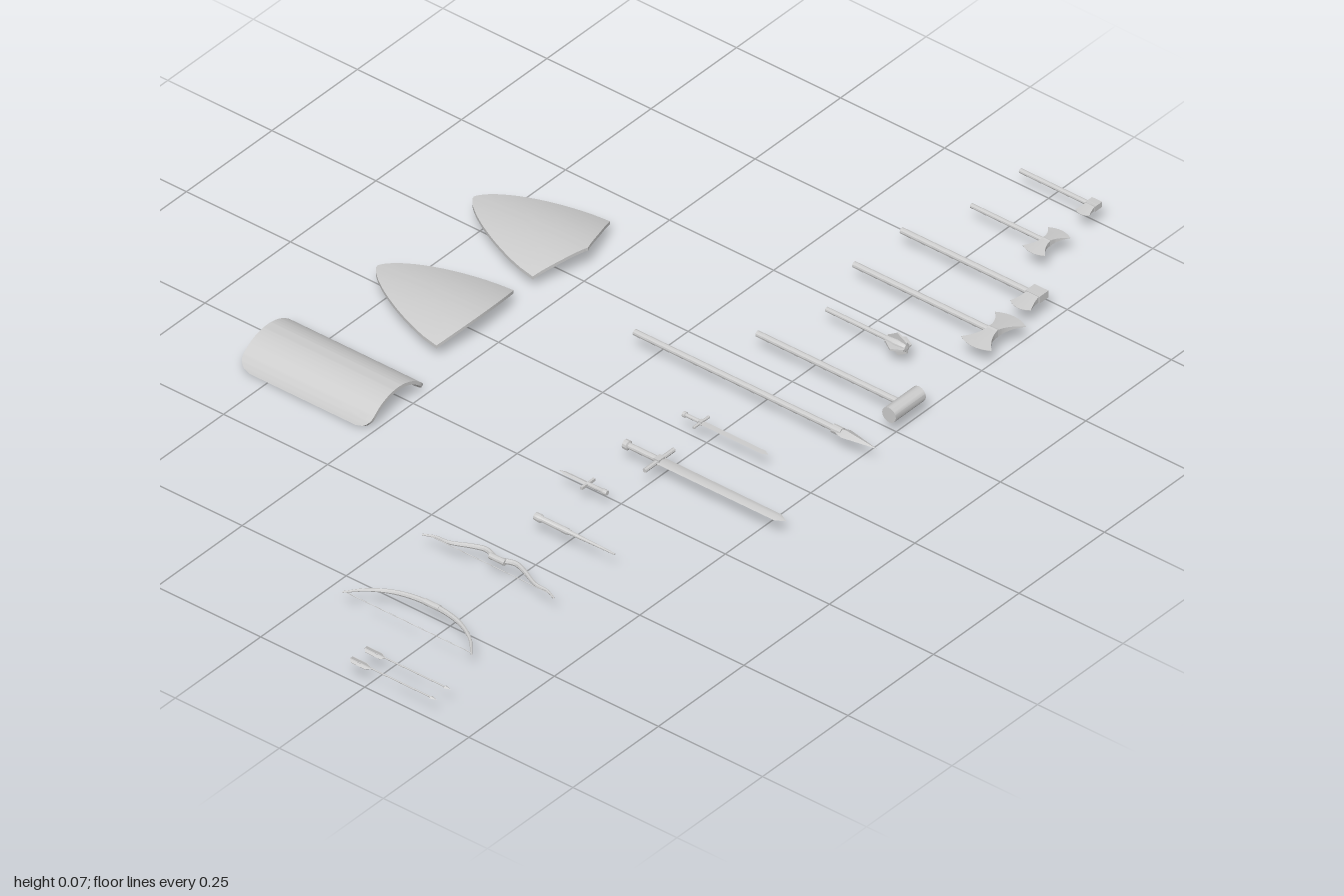
import * as THREE from 'three';
import { toCreasedNormals } from 'three/addons/utils/BufferGeometryUtils.js';

const material = new THREE.MeshStandardMaterial({ color: 0xcccccc, side: THREE.DoubleSide });
const LEVEL = 0.046; // height at which the weapons lie

export function createModel() {
  const model = new THREE.Group();

  const weapon = (name, x, y = LEVEL) => {
    const g = new THREE.Group();
    g.name = name;
    g.position.set(x, y, 0);
    model.add(g);
    return g;
  };
  const add = (group, name, geometry) => {
    const mesh = new THREE.Mesh(toCreasedNormals(geometry, 0.65), material);
    mesh.name = name;
    group.add(mesh);
    return mesh;
  };
  // Turned part along z from [radius, z] pairs; four sides give a diamond section
  const turned = (group, name, profile, sides = 12, flatten = 1) => {
    const g = new THREE.LatheGeometry(profile.map(([r, z]) => new THREE.Vector2(r, z)), sides);
    g.rotateX(Math.PI / 2).scale(1, flatten, 1);
    return add(group, name, g);
  };
  const rod = (group, name, r, z0, z1, sides) =>
    turned(group, name, [[0, z0], [r, z0], [r, z1], [0, z1]], sides);
  const box = (group, name, w, h, d, x, y, z) =>
    add(group, name, new THREE.BoxGeometry(w, h, d).translate(x, y, z));
  // Box grid whose vertices are moved by rule(u, s, v), each in -1..1
  const warped = (group, name, nx, nz, rule) => {
    const g = new THREE.BoxGeometry(2, 2, 2, nx, 1, nz);
    const p = g.attributes.position;
    for (let i = 0; i < p.count; i++) p.setXYZ(i, ...rule(p.getX(i), p.getY(i), p.getZ(i)));
    return add(group, name, g);
  };

  // Arrows
  for (const x of [-0.993, -0.951]) {
    const g = weapon('arrow', x);
    rod(g, 'arrowShaft', 0.0015, 0.21, 0.408, 8);
    turned(g, 'arrowHead', [[0, 0.4], [0.005, 0.403], [0, 0.417]], 4, 0.5);
    for (let i = 0; i < 3; i++) {
      const s = new THREE.Shape([[0, 0.21], [0.007, 0.215], [0.007, 0.25], [0, 0.262]]
        .map(([r, z]) => new THREE.Vector2(r, z)));
      const f = new THREE.ExtrudeGeometry(s, { depth: 0.001, bevelEnabled: false });
      f.translate(0, 0, -0.0005).rotateX(Math.PI / 2).rotateZ(Math.PI / 2 + i * Math.PI * 2 / 3);
      add(g, 'fletching', f);
    }
  }

  // Bows: half of the limb is given, the other half is mirrored in z
  const bow = (name, half, zMid, stringX) => {
    const g = weapon(name, 0);
    const pts = [...half.map(([x, d]) => new THREE.Vector3(x, 0, zMid - d)),
      ...half.slice(0, -1).reverse().map(([x, d]) => new THREE.Vector3(x, 0, zMid + d))];
    const curve = new THREE.CatmullRomCurve3(pts);
    const n = 60, sides = 8;
    const limb = new THREE.TubeGeometry(curve, n, 1, sides);
    const p = limb.attributes.position, v = new THREE.Vector3();
    for (let i = 0; i < p.count; i++) {
      const t = Math.floor(i / (sides + 1)) / n;
      const c = curve.getPointAt(t);
      v.fromBufferAttribute(p, i).sub(c).multiplyScalar(0.0018 + 0.0038 * Math.sin(Math.PI * t)).add(c);
      p.setXYZ(i, v.x, v.y, v.z);
    }
    add(g, 'limb', limb);
    const reach = half[0][1] - 0.004;
    rod(g, 'bowString', 0.0008, zMid - reach, zMid + reach, 6).position.x = stringX;
    rod(g, 'bowGrip', 0.0065, zMid - 0.018, zMid + 0.018).position.x = half.at(-1)[0];
  };
  bow('longBow', [[-0.84, 0.155], [-0.803, 0.12], [-0.776, 0.07], [-0.766, 0]], 0.22, -0.837);
  bow('recurveBow', [[-0.606, 0.158], [-0.596, 0.135], [-0.594, 0.105], [-0.574, 0.06],
    [-0.567, 0.035], [-0.577, 0]], 0.222, -0.6);

  // Wand
  turned(weapon('wand', -0.427), 'wandBody', [[0, 0.19], [0.008, 0.19], [0.0085, 0.2], [0.006, 0.208],
    [0.0065, 0.265], [0.0045, 0.275], [0.0018, 0.38], [0, 0.38]]);

  // Dagger
  const dagger = weapon('dagger', -0.287);
  turned(dagger, 'blade', [[0, 0.13], [0.005, 0.145], [0.0055, 0.2], [0, 0.2]], 4, 0.35);
  box(dagger, 'guard', 0.038, 0.006, 0.005, 0, 0, 0.2);
  turned(dagger, 'grip', [[0, 0.2], [0.0045, 0.2], [0.0045, 0.235], [0.006, 0.239], [0.005, 0.247], [0, 0.247]]);

  // Swords
  const sword = (name, x, s) => {
    const g = weapon(name, x);
    turned(g, 'pommel', [[0, s.start], [s.knob, s.start + s.knob * 0.5], [s.knob, s.start + s.knob * 1.4],
      [0, s.start + s.knob * 2]]);
    rod(g, 'grip', s.grip, s.start + s.knob, s.guard);
    add(g, 'guard', new THREE.CylinderGeometry(s.grip * 0.7, s.grip * 0.7, s.span, 8)
      .rotateZ(Math.PI / 2).translate(0, 0, s.guard));
    box(g, 'guardBlock', s.blade * 1.4, s.grip * 2, s.grip * 2, 0, 0, s.guard);
    turned(g, 'blade', [[0, s.guard], [s.blade, s.guard], [s.blade * 0.92, s.end - s.blade * 1.6], [0, s.end]], 4, 0.3);
  };
  sword('greatSword', -0.145, { start: 0.168, knob: 0.01, grip: 0.0065, guard: 0.255, span: 0.086, blade: 0.0125, end: 0.56 });
  sword('shortSword', -0.003, { start: 0.194, knob: 0.006, grip: 0.004, guard: 0.239, span: 0.046, blade: 0.0065, end: 0.4 });

  // Spear
  const spear = weapon('spear', 0.139);
  rod(spear, 'shaft', 0.0065, -0.037, 0.46);
  turned(spear, 'socket', [[0, 0.44], [0.009, 0.44], [0.009, 0.462], [0, 0.462]]);
  turned(spear, 'spearHead', [[0, 0.445], [0.008, 0.448], [0.015, 0.47], [0, 0.545]], 4, 0.55);

  // War hammer
  const hammer = weapon('hammer', 0.28);
  rod(hammer, 'handle', 0.0065, 0.142, 0.495);
  add(hammer, 'hammerHead', new THREE.CylinderGeometry(0.0165, 0.0165, 0.088, 16)
    .rotateZ(Math.PI / 2).translate(0, 0, 0.494));

  // Flanged mace
  const mace = weapon('mace', 0.421);
  rod(mace, 'handle', 0.005, 0.192, 0.345);
  turned(mace, 'maceCore', [[0, 0.335], [0.009, 0.338], [0.011, 0.365], [0.008, 0.385], [0, 0.388]]);
  for (let i = 0; i < 4; i++) {
    const s = new THREE.Shape([[0, 0.338], [0.008, 0.338], [0.025, 0.364], [0.012, 0.386], [0, 0.386]]
      .map(([r, z]) => new THREE.Vector2(r, z)));
    const f = new THREE.ExtrudeGeometry(s, { depth: 0.004, bevelEnabled: false });
    add(mace, 'flange', f.translate(0, 0, -0.002).rotateX(Math.PI / 2).rotateZ(i * Math.PI / 2));
  }

  // Axes: each blade flares and thins towards its curved edge
  const axeBlade = (group, z, reach, root, edge, thick, left) => {
    const m = warped(group, 'axeBlade', 8, 8, (u, s, v) => {
      const t = (u + 1) / 2;
      return [t * (reach - 0.18 * reach * v * v), s * (thick * (1 - t) + 0.0004),
        z + v * (root + (edge - root) * t * t)];
    });
    if (left) m.rotation.z = Math.PI;
  };
  const axe = (name, x, start, z, r, double, reach, root, edge) => {
    const g = weapon(name, x);
    rod(g, 'handle', r, start, z + root);
    axeBlade(g, z, reach, root, edge, r * 1.15, true);
    if (double) {
      axeBlade(g, z, reach, root, edge, r * 1.15, false);
      rod(g, 'eye', r * 1.3, z - root, z + root);
    } else box(g, 'poll', r * 4, r * 2.4, root * 2.4, r * 0.7, 0, z);
  };
  axe('doubleAxe', 0.563, 0.142, 0.476, 0.0065, true, 0.061, 0.011, 0.037);
  axe('axe', 0.702, 0.142, 0.463, 0.0065, false, 0.053, 0.014, 0.025);
  axe('smallDoubleAxe', 0.845, 0.192, 0.372, 0.005, true, 0.045, 0.009, 0.027);
  axe('hatchet', 0.988, 0.192, 0.365, 0.005, false, 0.036, 0.01, 0.017);

  // Grip bar under a shield
  const shieldGrip = (g, y, z) => {
    box(g, 'shieldGrip', 0.04, 0.004, 0.01, 0, y, z);
    for (const x of [-0.018, 0.018]) box(g, 'gripPost', 0.004, 0.014, 0.01, x, y + 0.005, z);
  };

  // Rectangular shield: arched sheet with rounded corners
  const tower = weapon('towerShield', -0.287, 0);
  const R = 0.1, arc = 1.06, corner = 0.03;
  warped(tower, 'shieldBoard', 48, 12, (u, s, v) => {
    const c = Math.max(0, (Math.abs(u) * arc * R - (arc * R - corner)) / corner);
    const half = 0.157 - corner + corner * Math.sqrt(Math.max(0, 1 - c * c));
    const r = R + (s - 1) * 0.0035;
    return [r * Math.sin(u * arc), r * Math.cos(u * arc) + 0.057 - R, v * half - 0.413];
  });
  shieldGrip(tower, 0.036, -0.413);

  // Pointed shields: curved sides meet in a tip at the back
  const pointed = (name, x, lowerEdge) => {
    const g = weapon(name, x, 0);
    warped(g, 'shieldBoard', 40, 16, (u, s, v) => {
      const a = Math.abs(u), w = 0.113 * u;
      const tip = -0.305 - 0.235 * Math.pow(1 - Math.pow(a, 1.45), 0.72);
      const z = THREE.MathUtils.lerp(tip, lowerEdge(a), (v + 1) / 2);
      const back = Math.max(0, (-0.3 - z) / 0.24);
      return [w, 0.056 - 1.7 * w * w - 0.01 * back * back + (s - 1) * 0.0035, z];
    });
    shieldGrip(g, 0.036, -0.39);
  };
  pointed('heaterShield', -0.002, a => -0.284 - 0.021 * a * a);
  pointed('notchedShield', 0.28, a => -0.305 + 0.012 * Math.sin(Math.PI * Math.min(1, a))
    + 0.04 * Math.pow(1 - a, 2));

  return model;
}
